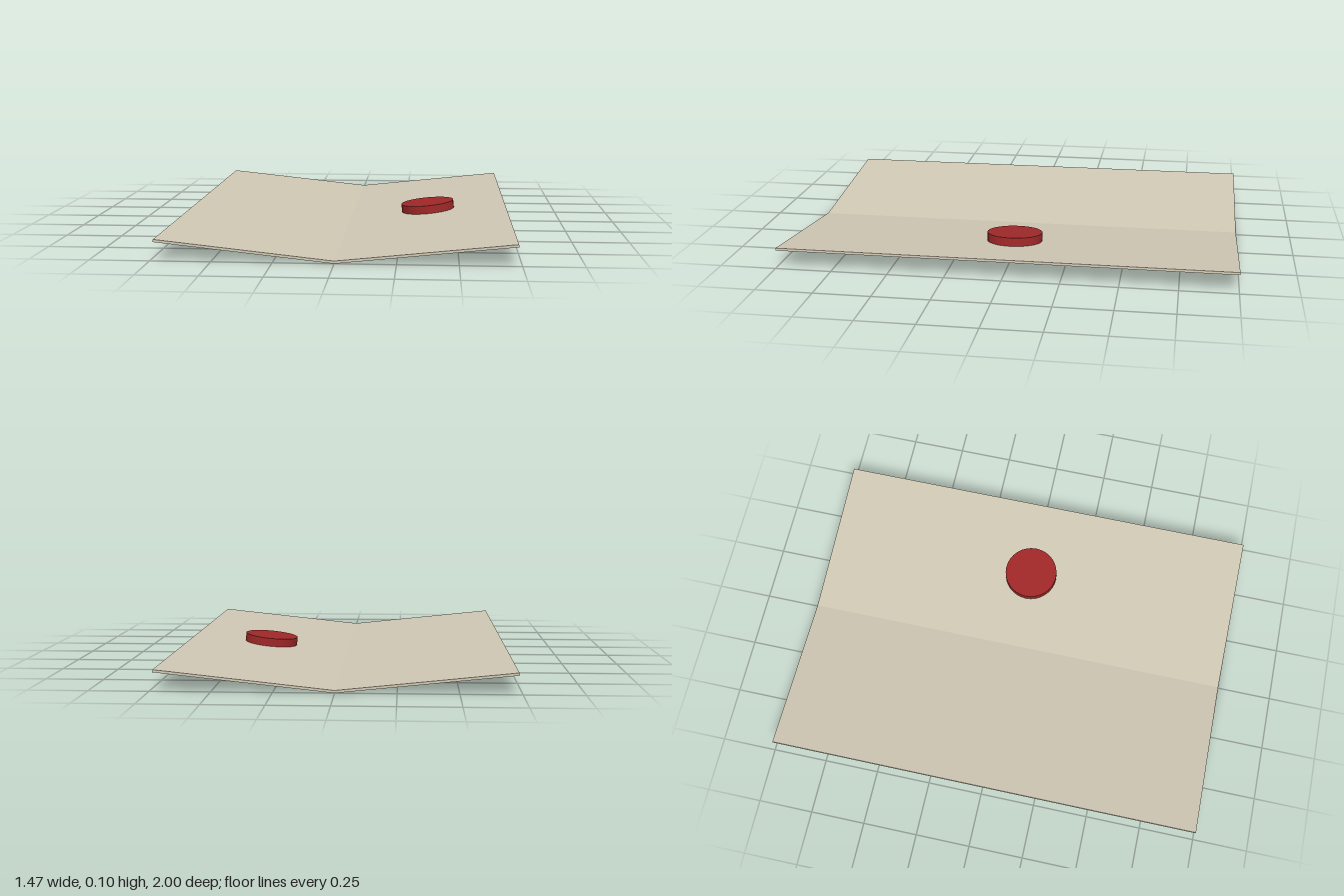
import * as THREE from 'three';

const TILT = Math.atan2(0.078, 0.735); // upward slope of each half

export function createModel() {
  const model = new THREE.Group();
  const boardMat = new THREE.MeshStandardMaterial({ color: 0xd0c8b4 });
  const discMat = new THREE.MeshStandardMaterial({ color: 0xa02828 });

  // Two thin halves meeting along the central fold
  for (const side of [1, -1]) {
    const profile = new THREE.Shape([
      [0, 0], [0.735, 0.078], [0.734, 0.089], [0, 0.011],
    ].map(([x, y]) => new THREE.Vector2(side * x, y)));
    const geo = new THREE.ExtrudeGeometry(profile, { depth: 2, bevelEnabled: false });
    geo.translate(0, 0, -1);
    const half = new THREE.Mesh(geo, boardMat);
    half.name = side > 0 ? 'leftPanel' : 'rightPanel';
    model.add(half);
  }

  // Round disc resting on the left panel
  const disc = new THREE.Mesh(new THREE.CylinderGeometry(0.125, 0.125, 0.038, 32), discMat);
  disc.name = 'disc';
  disc.position.set(0.367, 0.07, 0);
  disc.rotation.z = TILT;
  model.add(disc);

  return model;
}
